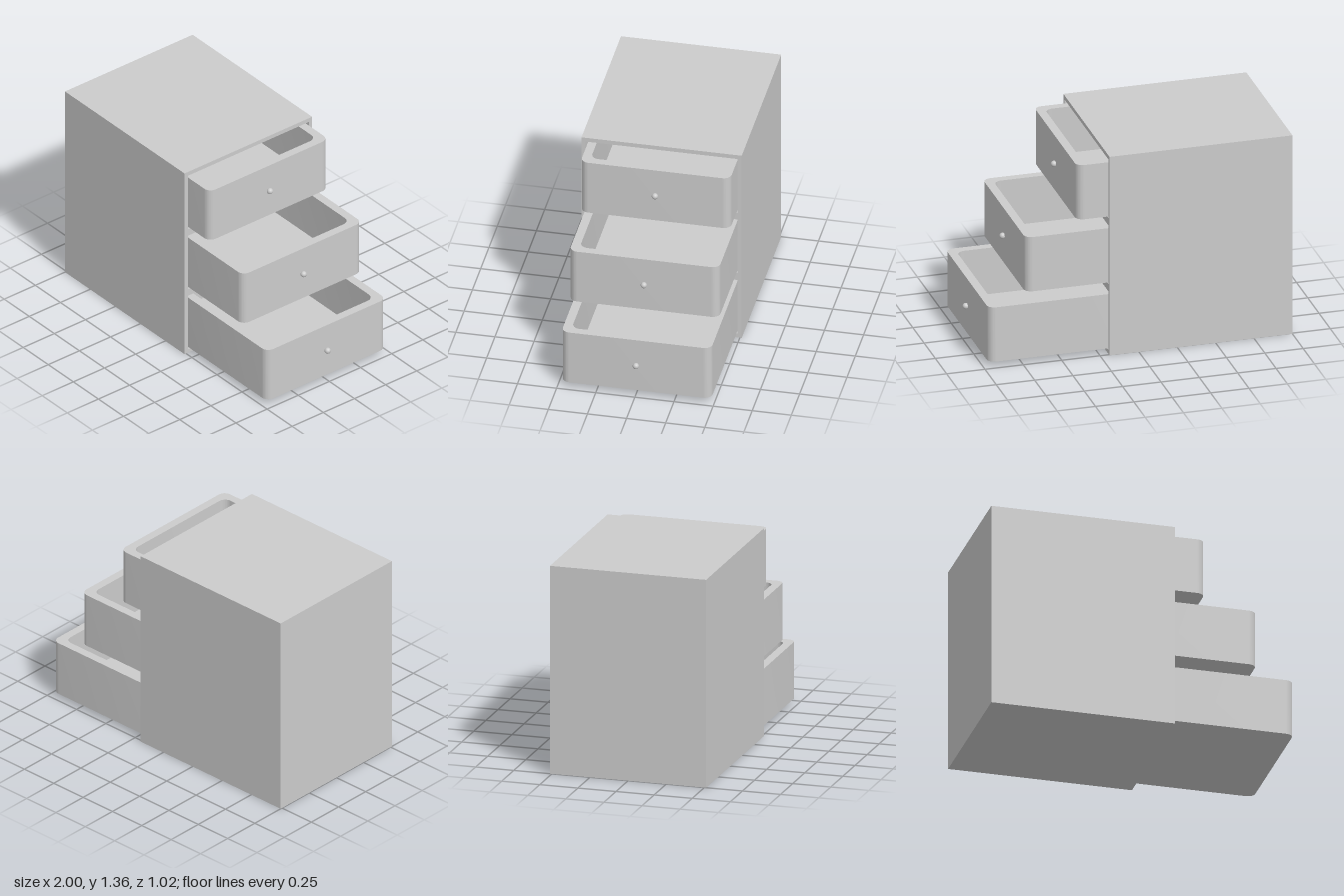
import * as THREE from 'three';
import { toCreasedNormals } from 'three/addons/utils/BufferGeometryUtils.js';

const material = new THREE.MeshStandardMaterial({ color: 0xcccccc });

const CAB = { back: -1, front: 0.192, height: 1.355, halfWidth: 0.512, panel: 0.027 };
const PITCH = 0.45; // vertical spacing of the drawers
const DRAWER = { length: 1.15, width: 0.957, height: 0.37, wall: 0.055, radius: 0.05 };

function part(name, geometry) {
  const mesh = new THREE.Mesh(geometry, material);
  mesh.name = name;
  return mesh;
}

// Rectangle centred on (cx, cy) with corners rounded by r
function roundedRect(path, cx, cy, w, h, r) {
  const x0 = cx - w / 2, x1 = cx + w / 2, y0 = cy - h / 2, y1 = cy + h / 2;
  path.moveTo(x0 + r, y0);
  path.lineTo(x1 - r, y0);
  if (r) path.absarc(x1 - r, y0 + r, r, -Math.PI / 2, 0);
  path.lineTo(x1, y1 - r);
  if (r) path.absarc(x1 - r, y1 - r, r, 0, Math.PI / 2);
  path.lineTo(x0 + r, y1);
  if (r) path.absarc(x0 + r, y1 - r, r, Math.PI / 2, Math.PI);
  path.lineTo(x0, y0 + r);
  if (r) path.absarc(x0 + r, y0 + r, r, Math.PI, Math.PI * 1.5);
  path.closePath();
  return path;
}

function extrude(shape, depth) {
  return new THREE.ExtrudeGeometry(shape, { depth, bevelEnabled: false, curveSegments: 10 });
}

// Carcass with three openings, closed by a back panel
function createCabinet() {
  const group = new THREE.Group();
  group.name = 'cabinet';
  const face = roundedRect(new THREE.Shape(), 0, CAB.height / 2, CAB.halfWidth * 2, CAB.height, 0);
  for (let i = 0; i < 3; i++) {
    face.holes.push(roundedRect(new THREE.Path(), 0, 0.227 + i * PITCH, 0.97, 0.4, 0));
  }
  const carcass = extrude(face, CAB.front - CAB.back - CAB.panel);
  carcass.rotateY(Math.PI / 2).translate(CAB.back + CAB.panel, 0, 0);
  const back = new THREE.BoxGeometry(CAB.panel, CAB.height, CAB.halfWidth * 2);
  back.translate(CAB.back + CAB.panel / 2, CAB.height / 2, 0);
  group.add(part('carcass', carcass), part('backPanel', back));
  return group;
}

// Open tray with rounded corners and a round knob; origin at the centre of its front face
function createDrawer(name) {
  const group = new THREE.Group();
  group.name = name;
  const { length, width, height, wall, radius } = DRAWER;
  const inner = (path) => roundedRect(path, -length / 2, 0, length - wall * 2, width - wall * 2, radius);

  const rim = roundedRect(new THREE.Shape(), -length / 2, 0, length, width, radius);
  rim.holes.push(inner(new THREE.Path()));
  const walls = extrude(rim, height).rotateX(-Math.PI / 2).translate(0, -height / 2, 0);
  const floor = extrude(inner(new THREE.Shape()), wall).rotateX(-Math.PI / 2).translate(0, -height / 2, 0);
  const knob = new THREE.SphereGeometry(0.02, 24, 16).translate(0.01, 0, 0);

  group.add(
    part('drawerWalls', toCreasedNormals(walls, Math.PI / 5)),
    part('drawerFloor', floor),
    part('knob', knob)
  );
  return group;
}

export function createModel() {
  const model = new THREE.Group();
  model.name = 'drawerCabinet';
  model.add(createCabinet());

  // Each drawer is pulled out further than the one above
  const fronts = { bottomDrawer: 0.97, middleDrawer: 0.73, topDrawer: 0.395 };
  Object.entries(fronts).forEach(([name, x], i) => {
    const drawer = createDrawer(name);
    drawer.position.set(x, 0.22 + i * PITCH, -0.002);
    model.add(drawer);
  });
  return model;
}
